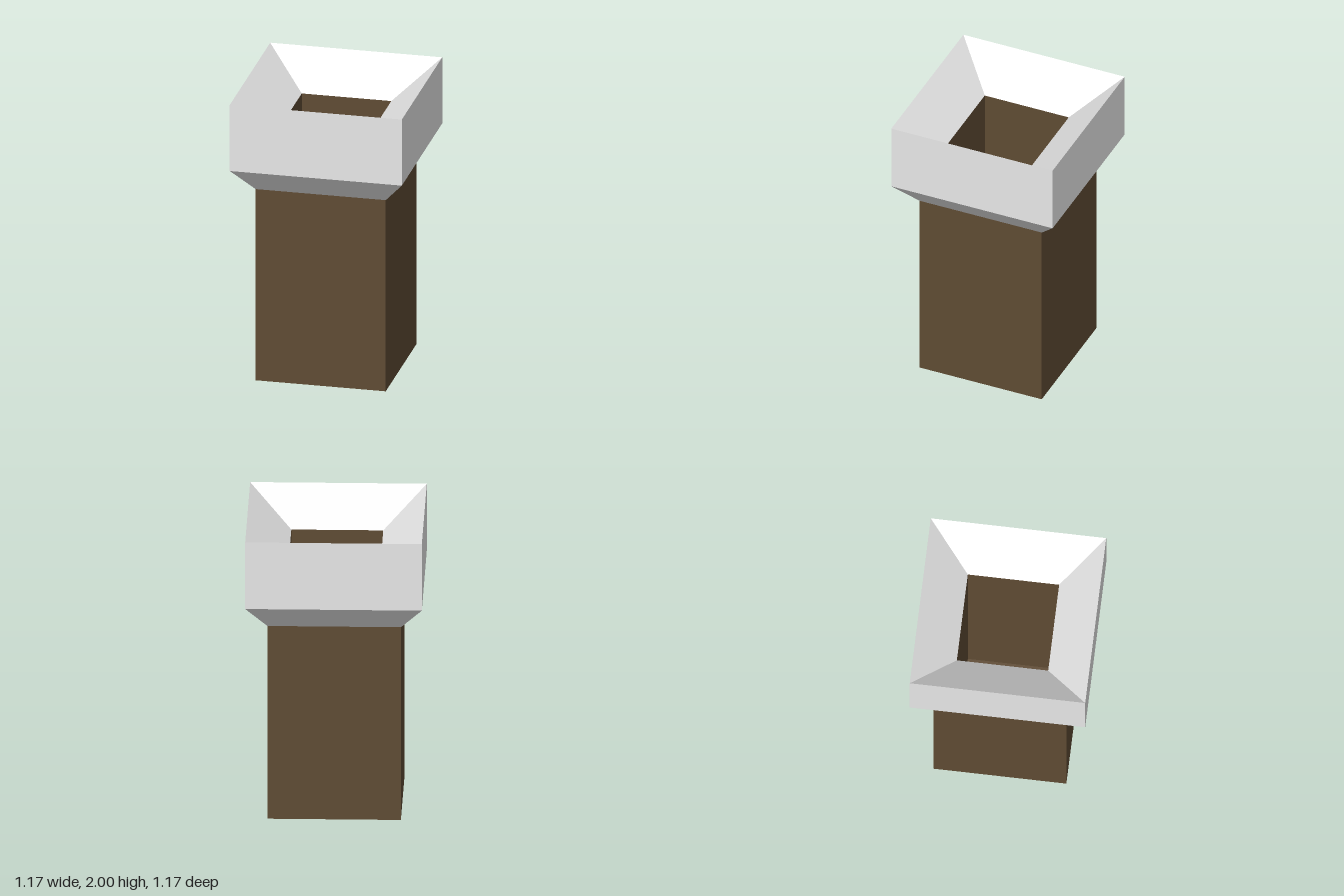
import * as THREE from 'three';

const brown = new THREE.MeshStandardMaterial({ color: 0x5f4b33 });
brown.name = 'brown';
const lightGrey = new THREE.MeshStandardMaterial({ color: 0xe7e7e7 });
lightGrey.name = 'light grey';

// Square-section shell from a profile of [half width, height] pairs, with flat faces
function squareShell(name, profile, material) {
  const points = profile.map(([half, y]) => new THREE.Vector2(half * Math.SQRT2, y));
  const geometry = new THREE.LatheGeometry(points, 4, Math.PI / 4).toNonIndexed();
  geometry.computeVertexNormals();
  const mesh = new THREE.Mesh(geometry, material);
  mesh.name = name;
  return mesh;
}

export function createModel() {
  const shaftHalf = 0.443, rimHalf = 0.586, boreHalf = 0.305;
  const collarBase = 1.36, collarEdge = 1.53, top = 2, boreTop = 1.77, boreFloor = 0.135;

  const model = new THREE.Group();
  model.name = 'chimney';
  model.add(
    // Outer column, closed underneath
    squareShell('shaft', [[0, 0], [shaftHalf, 0], [shaftHalf, collarBase]], brown),
    // Flared collar, sharp rim and the funnel sloping inwards
    squareShell('collar', [
      [shaftHalf, collarBase], [rimHalf, collarEdge], [rimHalf, top], [boreHalf, boreTop],
    ], lightGrey),
    // Hollow inside with a floor
    squareShell('bore', [[boreHalf, boreTop], [boreHalf, boreFloor], [0, boreFloor]], brown),
  );
  return model;
}
